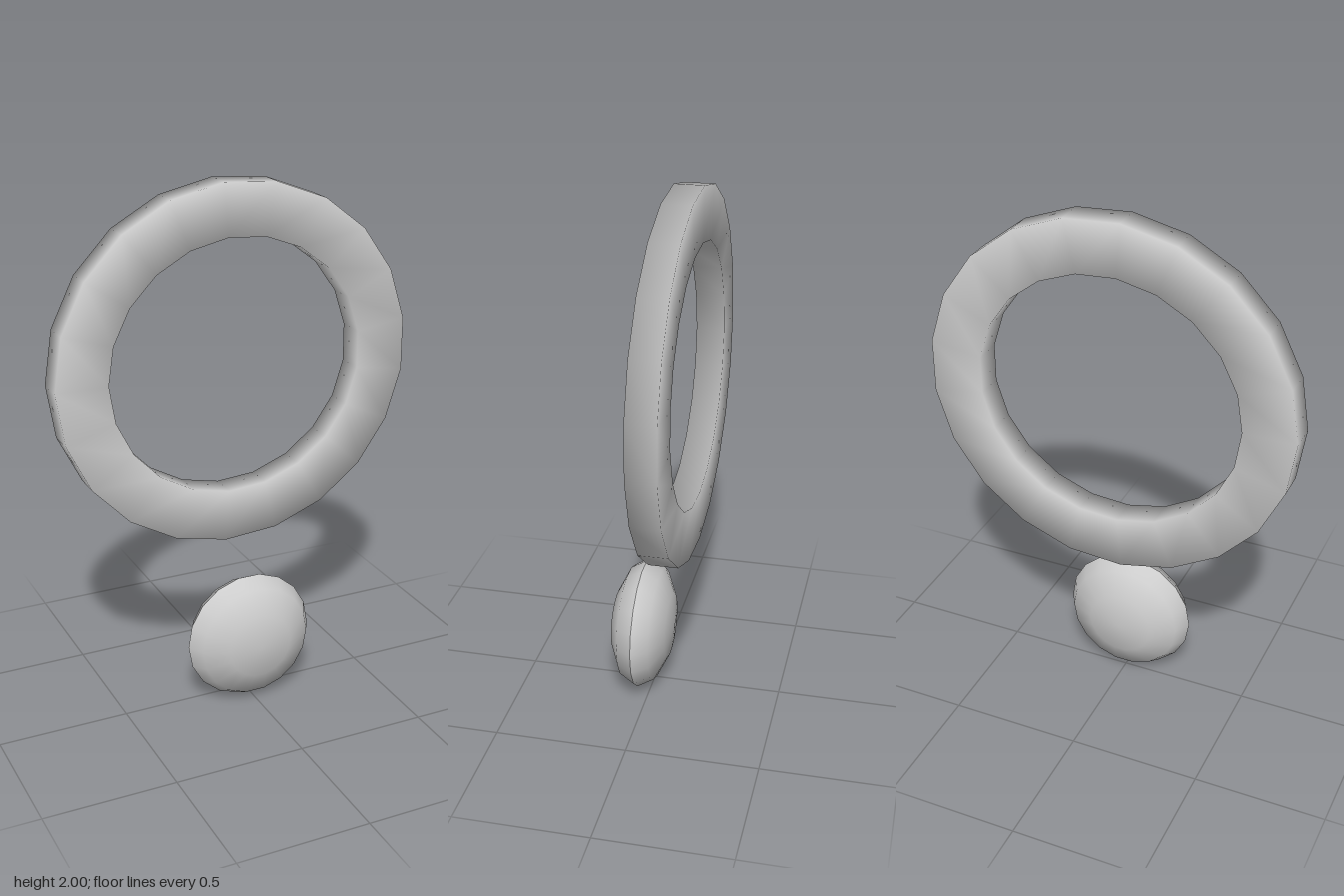
import * as THREE from 'three';
import { mergeVertices } from 'three/addons/utils/BufferGeometryUtils.js';

// Weld a geometry and give it averaged normals
function weldSmooth(geometry) {
  geometry.deleteAttribute('normal');
  geometry.deleteAttribute('uv');
  const welded = mergeVertices(geometry, 1e-4);
  welded.computeVertexNormals();
  return welded;
}

// Ring with a rectangular section, 21 sides, softly shaded
function ringGeometry() {
  const sides = 21;
  const section = [[0.1, -0.055], [0.1, 0.055], [-0.1, 0.055], [-0.1, -0.055]];
  const geometry = new THREE.TorusGeometry(0.605, 0.1, 4, sides);
  const pos = geometry.attributes.position;
  for (let k = 0; k < pos.count; k++) {
    const [dr, z] = section[Math.floor(k / (sides + 1)) % 4];
    const a = Math.PI + ((k % (sides + 1)) / sides) * Math.PI * 2;
    pos.setXYZ(k, (0.606 + dr) * Math.cos(a), (0.589 + dr) * Math.sin(a), z);
  }
  return weldSmooth(geometry);
}

// Shallow dome bulging towards +z
function domeGeometry() {
  const geometry = new THREE.SphereGeometry(1, 18, 3, 0, Math.PI * 2, 0, Math.PI / 2);
  geometry.rotateX(Math.PI / 2);
  geometry.scale(0.254, 0.254, 0.122);
  return weldSmooth(geometry);
}

export function createModel() {
  const model = new THREE.Group();
  const grey = new THREE.MeshStandardMaterial({ color: 0xcccccc });
  grey.name = 'light grey';

  const ring = new THREE.Mesh(ringGeometry(), grey);
  ring.name = 'ring';
  ring.position.set(0.003, 1.312, -0.11);
  model.add(ring);

  // Lens made of two domes that meet at a sharp rim
  const lens = new THREE.Group();
  lens.name = 'lens';
  lens.position.set(0, 0.251, 0.042);
  const dome = domeGeometry();
  for (const [name, turn] of [['frontDome', 0], ['backDome', Math.PI]]) {
    const half = new THREE.Mesh(dome, grey);
    half.name = name;
    half.rotation.y = turn;
    lens.add(half);
  }
  model.add(lens);
  return model;
}
